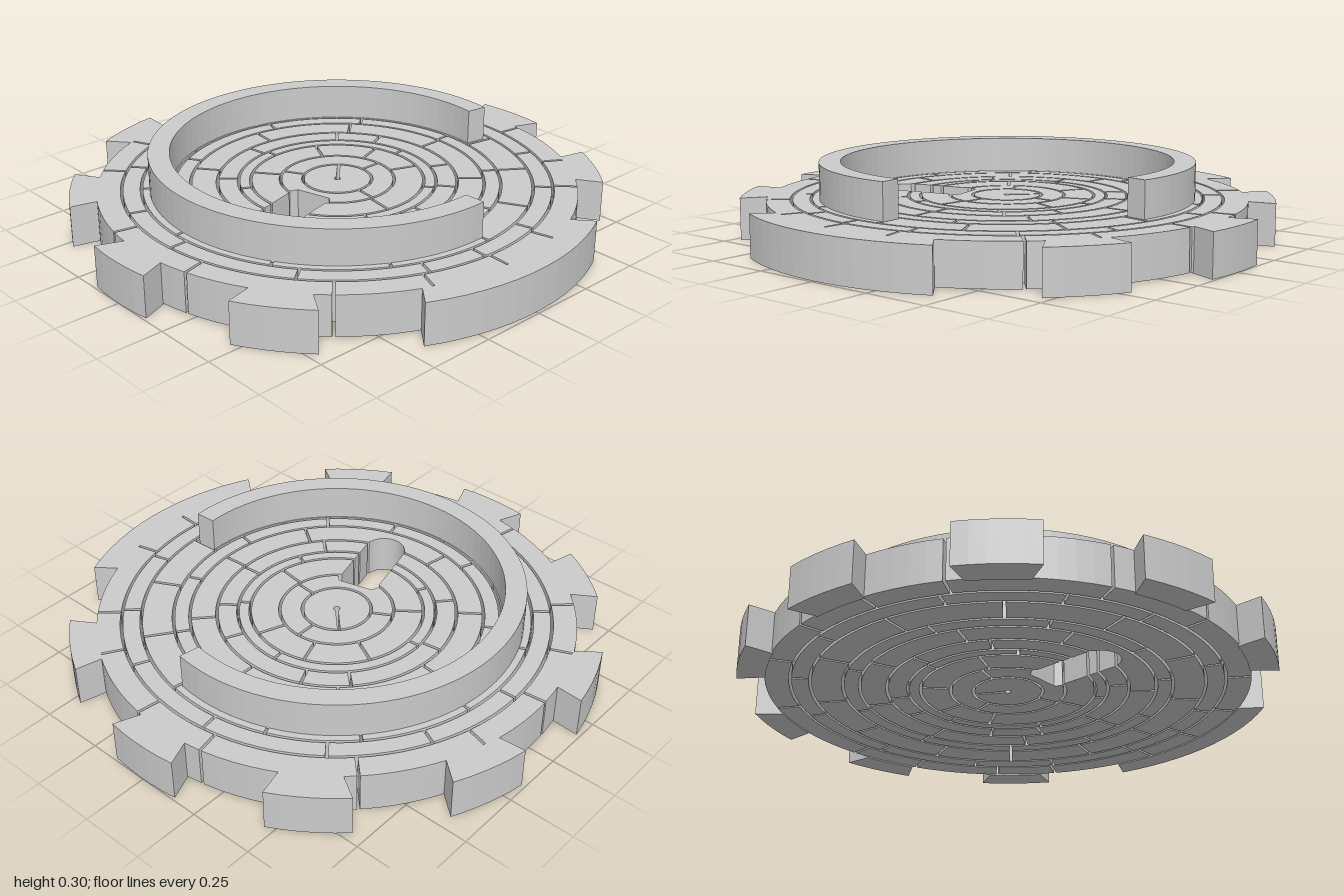
import * as THREE from 'three';

const RAD = Math.PI / 180;
const GAP = 0.005;                                  // half of a joint's width
const SLOT = { angle: 75, half: 0.08, start: 0.165, end: 0.43 };
const material = new THREE.MeshStandardMaterial({ color: 0xcccccc, flatShading: true });

// Angles are in degrees, from +x towards +z. Radii may vary with the angle.
function arcBlock(name, inner, outer, inA, inB, outA, outB, y0, y1, step = 4) {
  const points = [];
  const arc = (radius, a, b) => {
    const n = Math.max(2, Math.ceil(Math.abs(b - a) / step));
    for (let i = 0; i <= n; i++) {
      const t = a + (b - a) * i / n;
      const r = radius(t);
      points.push(new THREE.Vector2(r * Math.cos(t * RAD), r * Math.sin(t * RAD)));
    }
  };
  arc(outer, outA, outB);
  arc(inner, inB, inA);
  const geometry = new THREE.ExtrudeGeometry(new THREE.Shape(points), { depth: y1 - y0, bevelEnabled: false });
  geometry.rotateX(Math.PI / 2).translate(0, y1, 0);
  const mesh = new THREE.Mesh(geometry, material);
  mesh.name = name;
  return mesh;
}

// Round outer end of the slot, seen as a notch in the inner edge of a ring
function notchInner(r0) {
  return (t) => {
    const phi = (t - SLOT.angle) * RAD;
    const under = SLOT.half ** 2 - (SLOT.end * Math.sin(phi)) ** 2;
    if (under < 0 || Math.cos(phi) < 0) return r0;
    return Math.max(r0, SLOT.end * Math.cos(phi) + Math.sqrt(under));
  };
}

// Square inner end of the slot, seen as a notch in the outer edge of a ring
function notchOuter(r1) {
  return (t) => {
    const phi = (t - SLOT.angle) * RAD;
    return Math.abs(phi) < 0.41 ? Math.min(r1, SLOT.start / Math.cos(phi)) : r1;
  };
}

// One course of bricks between joints; a joint is an angle, and the slot acts as a wide one
function brickRing(name, r0, r1, joints, options = {}) {
  const ring = new THREE.Group();
  ring.name = name;
  const inner = options.inner || (() => r0);
  const outer = options.outer || (() => r1);
  const all = joints.map((angle) => ({ angle, half: GAP }));
  if (options.slot) all.push({ angle: SLOT.angle, half: SLOT.half });
  all.sort((p, q) => p.angle - q.angle);
  all.forEach((a, i) => {
    const last = i === all.length - 1;
    const b = all[last ? 0 : i + 1];
    const endAngle = b.angle + (last ? 360 : 0);
    const off = (joint, r) => Math.asin(Math.min(1, joint.half / r)) / RAD;
    ring.add(arcBlock('brick', inner, outer,
      a.angle + off(a, r0), endAngle - off(b, r0),
      a.angle + off(a, r1), endAngle - off(b, r1), 0.005, 0.16, options.step));
  });
  return ring;
}

export function createModel() {
  const model = new THREE.Group();
  model.name = 'brickPlatform';

  // Paved disc, from the centre outwards
  const floor = new THREE.Group();
  floor.name = 'pavedDisc';
  floor.add(
    brickRing('centreStone', 0.012, 0.125, [225], { step: 8 }),
    brickRing('course1', 0.135, 0.21, [5, 150, 270], { outer: notchOuter(0.21), step: 2 }),
    brickRing('course2', 0.22, 0.322, [8, 142, 207, 250, 291], { slot: true }),
    brickRing('course3', 0.332, 0.368, [25, 118, 175, 266, 325], { slot: true }),
    brickRing('course4', 0.378, 0.447, [-5, 42, 132, 172, 222, 245, 295, 322], { slot: true }),
    brickRing('course5', 0.457, 0.548, [-4, 35, 100, 142, 186, 228, 270, 312], { inner: notchInner(0.457), step: 1.5 }),
    brickRing('course6', 0.558, 0.61, [10, 45, 72, 110, 150, 195, 232, 269, 305, 338]),
    brickRing('course7', 0.62, 0.73, [-3, 28, 60, 92, 125, 158, 190, 222, 248, 280, 305, 332]),
    brickRing('course8', 0.74, 0.803, [4, 20, 52, 87, 110, 140, 178, 205, 231, 263, 294, 318, 344]),
    brickRing('course9', 0.813, 0.9, [3, 22, 43, 76, 102, 137, 156, 175, 195, 224, 259, 278, 301, 317, 346]),
  );
  model.add(floor);

  // Raised ring wall with a quarter left open
  model.add(arcBlock('ringWall', () => 0.625, () => 0.705, -3, 279, -3, 279, 0.155, 0.297));

  // Tabs around the rim, tapering inwards
  const tabs = new THREE.Group();
  tabs.name = 'rimTabs';
  for (let angle = 54; angle <= 306; angle += 36) {
    tabs.add(arcBlock('rimTab', () => 0.895, () => 1,
      angle - 6.8, angle + 6.8, angle - 8.4, angle + 8.4, 0, 0.16));
  }
  // Wide tab on the left side
  tabs.add(arcBlock('wideRimTab', () => 0.895, () => 0.99, -24.5, 24.5, -26, 26, 0, 0.16));
  model.add(tabs);
  return model;
}
